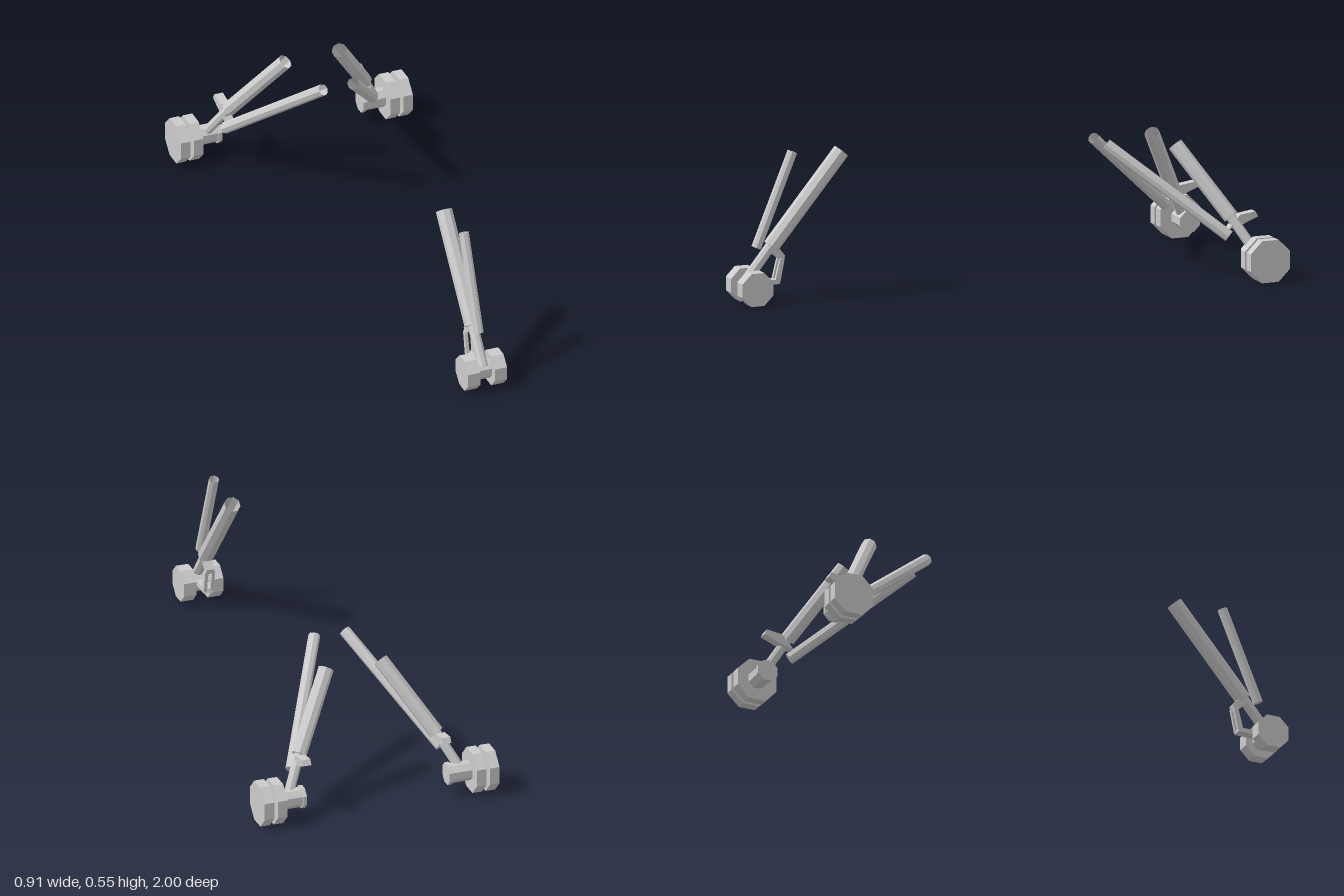
import * as THREE from 'three';

const FLAT = Math.PI / 8; // turns an octagon so that a flat side faces down
const solid = new THREE.MeshStandardMaterial({ color: 0xcccccc, flatShading: true });
const open = new THREE.MeshStandardMaterial({ color: 0xcccccc, flatShading: true, side: THREE.DoubleSide });
const UP = new THREE.Vector3(0, 1, 0);
const V = (p) => new THREE.Vector3(...p);

function add(parent, name, geometry, material = solid) {
  const mesh = new THREE.Mesh(geometry, material);
  mesh.name = name;
  parent.add(mesh);
  return mesh;
}

// Octagonal drum along x; r is the distance to a flat side
function drum(parent, name, x0, x1, y, z, r) {
  const R = r / Math.cos(FLAT);
  const g = new THREE.CylinderGeometry(R, R, Math.abs(x1 - x0), 8);
  g.rotateY(FLAT).rotateZ(Math.PI / 2);
  add(parent, name, g).position.set((x0 + x1) / 2, y, z);
}

// Octagonal tube from a to b, closed at a and open at b
function tube(parent, name, a, b, r) {
  const from = V(a), dir = V(b).sub(from), R = r / Math.cos(FLAT);
  const profile = [[0, 0], [R, 0], [R, dir.length()]].map((p) => new THREE.Vector2(...p));
  const mesh = add(parent, name, new THREE.LatheGeometry(profile, 8, FLAT), open);
  mesh.position.copy(from);
  mesh.quaternion.setFromUnitVectors(UP, dir.normalize());
}

// Plate with a (z, y) outline, given a width along x
function plate(parent, name, outline, x, width) {
  const shape = new THREE.Shape(outline.map(([z, y]) => new THREE.Vector2(-z, y)));
  const g = new THREE.ExtrudeGeometry(shape, { depth: width, bevelEnabled: false });
  g.translate(0, 0, -width / 2).rotateY(Math.PI / 2);
  add(parent, name, g).position.x = x;
}

function noseGear() {
  const gear = new THREE.Group();
  gear.name = 'noseGear';
  const y = 0.061, z = 0.939;
  for (const s of [-1, 1]) drum(gear, 'noseWheel', s * 0.028, s * 0.076, y, z, 0.061);
  drum(gear, 'noseAxle', -0.03, 0.03, y, z, 0.034);
  tube(gear, 'nosePiston', [0, 0.08, 0.955], [0, 0.24, 0.825], 0.018);
  tube(gear, 'noseSleeve', [0, 0.2, 0.855], [0, 0.53, 0.577], 0.028);
  tube(gear, 'noseBrace', [0, 0.2, 0.913], [0, 0.545, 0.77], 0.017);
  // Folding torque link behind the piston
  plate(gear, 'upperLink', [[0.865, 0.215], [0.845, 0.215], [0.805, 0.165], [0.812, 0.145], [0.83, 0.155], [0.87, 0.19]], 0, 0.03);
  for (const s of [-1, 1]) {
    plate(gear, 'lowerLink', [[0.808, 0.155], [0.825, 0.155], [0.845, 0.075], [0.825, 0.07]], s * 0.013, 0.012);
  }
  plate(gear, 'linkLug', [[0.92, 0.08], [0.83, 0.078], [0.825, 0.062], [0.92, 0.06]], 0, 0.036);
  return gear;
}

function mainGear(s) {
  const gear = new THREE.Group();
  gear.name = s > 0 ? 'leftMainGear' : 'rightMainGear';
  const y = 0.078, z = -0.922;
  drum(gear, 'outerWheel', s * 0.416, s * 0.453, y, z, 0.078);
  drum(gear, 'innerWheel', s * 0.365, s * 0.402, y, z, 0.078);
  drum(gear, 'mainAxle', s * 0.285, s * 0.42, y, z, 0.034);
  drum(gear, 'axleFlange', s * 0.275, s * 0.29, y, z, 0.039);
  tube(gear, 'mainPiston', [s * 0.325, 0.1, -0.91], [s * 0.235, 0.268, -0.817], 0.017);
  tube(gear, 'mainSleeve', [s * 0.265, 0.212, -0.848], [s * 0.105, 0.462, -0.697], 0.026);
  tube(gear, 'sideBrace', [s * 0.288, 0.147, -0.83], [s * 0.058, 0.475, -0.445], 0.02);
  // Torque link pointing backwards from the foot of the sleeve
  plate(gear, 'torqueLink', [[-0.83, 0.172], [-0.875, 0.222], [-0.935, 0.23], [-0.946, 0.21], [-0.865, 0.178]], s * 0.27, 0.034);
  return gear;
}

export function createModel() {
  const model = new THREE.Group();
  model.name = 'landingGear';
  model.add(noseGear(), mainGear(1), mainGear(-1));
  return model;
}
